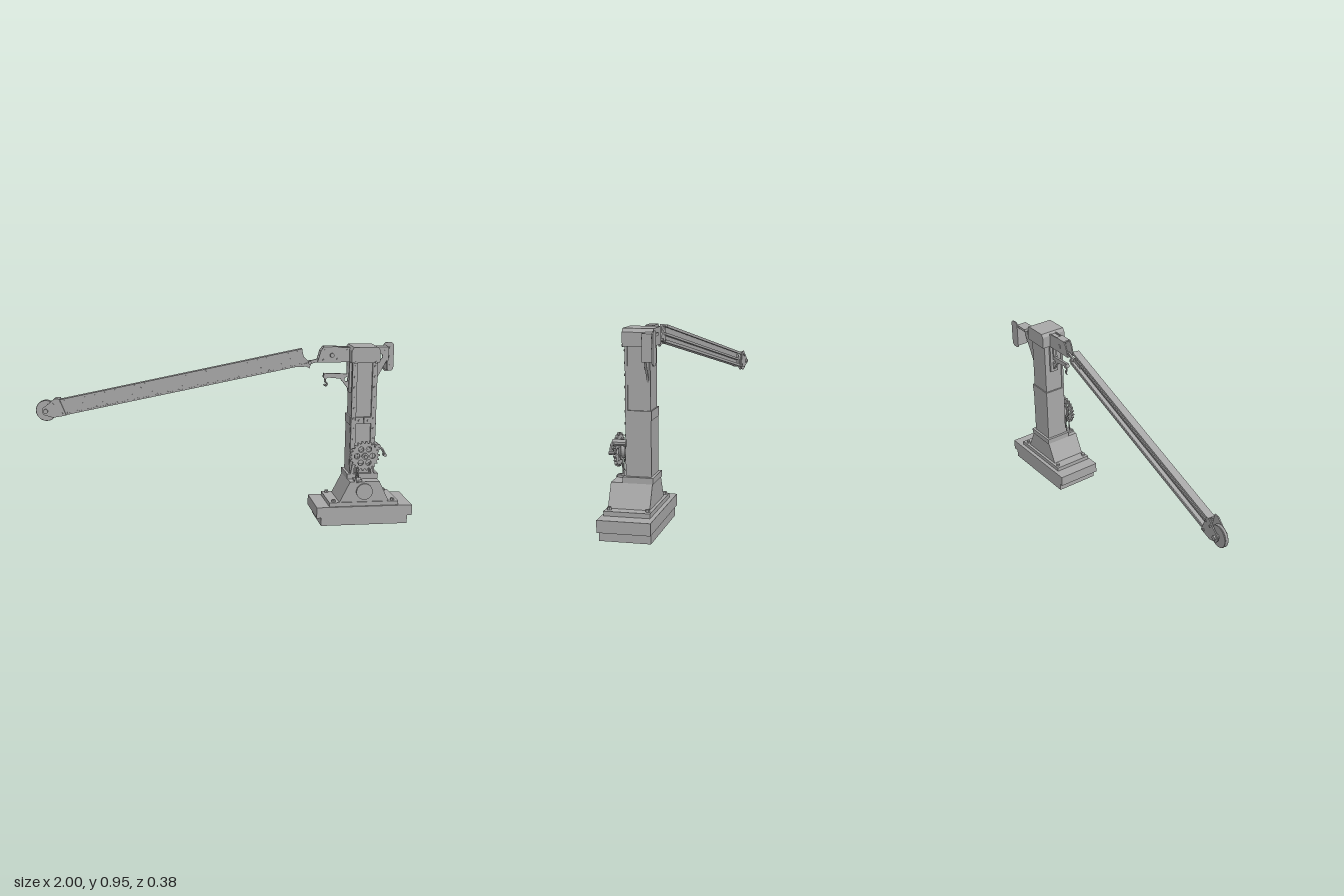
import * as THREE from 'three';

const steel = new THREE.MeshStandardMaterial({ color: 0xa8a8a8 });
steel.name = 'grey steel';
steel.flatShading = true;

function add(parent, name, geo, x = 0, y = 0, z = 0) {
  const m = new THREE.Mesh(geo, steel);
  m.name = name;
  m.position.set(x, y, z);
  parent.add(m);
  return m;
}
// Box given by its limits on each axis
const box = (p, name, x0, x1, y0, y1, z0, z1) =>
  add(p, name, new THREE.BoxGeometry(x1 - x0, y1 - y0, z1 - z0), (x0 + x1) / 2, (y0 + y1) / 2, (z0 + z1) / 2);
// Polygon in xy pulled from z0 to z1, with optional round holes [x, y, r]
function plate(p, name, pts, z0, z1, holes = []) {
  const s = new THREE.Shape(pts.map(a => new THREE.Vector2(...a)));
  for (const [x, y, r] of holes) s.holes.push(new THREE.Path().absarc(x, y, r, 0, Math.PI * 2, true));
  return add(p, name, new THREE.ExtrudeGeometry(s, { depth: z1 - z0, bevelEnabled: false, curveSegments: 10 }), 0, 0, z0);
}
// Cylinder along z
function disc(p, name, x, y, z0, z1, r, n = 24) {
  const g = new THREE.CylinderGeometry(r, r, z1 - z0, n).rotateX(Math.PI / 2);
  return add(p, name, g, x, y, (z0 + z1) / 2);
}
const rivet = (p, x, y, z, r = 0.006, h = 0.006) => disc(p, 'rivet', x, y, z, z + h, r, 6);
// Round bar through points
const rod = (p, name, pts, r) => add(p, name, new THREE.TubeGeometry(
  new THREE.CatmullRomCurve3(pts.map(a => new THREE.Vector3(...a)), false, 'catmullrom', 0.2), pts.length * 4, r, 6));

function group(parent, name) {
  const g = new THREE.Group();
  g.name = name;
  parent.add(g);
  return g;
}

function buildBase(root) {
  const g = group(root, 'base');
  box(g, 'footing', 0.505, 0.975, 0, 0.045, -0.062, 0.18);
  box(g, 'slab', 0.48, 1, 0.045, 0.103, -0.066, 0.184);
  box(g, 'basePlate', 0.55, 0.925, 0.103, 0.125, -0.045, 0.174);
  plate(g, 'pedestal', [[0.605, 0.125], [0.873, 0.125], [0.82, 0.235], [0.66, 0.235]], -0.03, 0.168);
  disc(g, 'pedestalCover', 0.738, 0.182, 0.168, 0.178, 0.044);
  for (const x of [0.575, 0.895]) for (const z of [-0.027, 0.155]) {
    add(g, 'anchorBolt', new THREE.CylinderGeometry(0.011, 0.011, 0.012, 6), x, 0.131, z);
  }
  box(g, 'collar', 0.657, 0.825, 0.235, 0.264, -0.035, 0.11);
}

function buildColumn(root) {
  const g = group(root, 'column');
  box(g, 'lowerColumn', 0.671, 0.807, 0.264, 0.572, -0.022, 0.088);
  box(g, 'upperColumn', 0.677, 0.801, 0.572, 0.87, -0.018, 0.088);
  // Riveted edge strips on either side of the recessed front
  for (const s of [-1, 1]) {
    const x = 0.739 + s * 0.054;
    box(g, 'edgeStrip', x - 0.013, x + 0.013, 0.264, 0.87, 0.088, 0.1);
    for (let i = 0; i < 11; i++) rivet(g, x, 0.285 + i * 0.056, 0.1);
    box(g, 'jointPlate', 0.739 + s * 0.024 - 0.022, 0.739 + s * 0.024 + 0.022, 0.537, 0.572, 0.086, 0.104);
    rivet(g, 0.739 + s * 0.024, 0.554, 0.104, 0.007);
  }
  box(g, 'columnBand', 0.668, 0.81, 0.528, 0.572, -0.024, 0.087);
  // Head block with bevelled top
  plate(g, 'head', [[0.663, 0.865], [0.815, 0.865], [0.815, 0.93], [0.803, 0.947], [0.675, 0.947], [0.663, 0.93]], -0.035, 0.11);
  for (const x of [0.685, 0.793]) rivet(g, x, 0.867, 0.108, 0.007, 0.008);
}

function buildRightArm(root) {
  const g = group(root, 'rightArm');
  plate(g, 'gusset', [[0.8, 0.7], [0.816, 0.735], [0.888, 0.87], [0.888, 0.93], [0.8, 0.93]], -0.012, -0.002, [[0.842, 0.88, 0.017]]);
  box(g, 'topRail', 0.81, 0.89, 0.918, 0.932, -0.06, -0.001);
  box(g, 'endWeb', 0.882, 0.89, 0.805, 0.93, -0.06, -0.002);
  const c = 0.012, x0 = 0.878, x1 = 0.936, y0 = 0.792, y1 = 0.948;
  plate(g, 'endPlate', [[x0 + c, y0], [x1 - c, y0], [x1, y0 + c], [x1, y1 - c], [x1 - c, y1], [x0 + c, y1], [x0, y1 - c], [x0, y0 + c]], -0.066, -0.06);
  for (const y of [0.82, 0.87, 0.918]) rivet(g, 0.914, y, -0.06, 0.007);
  for (const [x, y] of [[0.825, 0.77], [0.83, 0.91], [0.872, 0.91]]) rivet(g, x, y, -0.002);
}

function buildLeftArm(root) {
  const g = group(root, 'leftArm');
  const side = [[0.492, 0.862], [0.665, 0.862], [0.665, 0.94], [0.525, 0.945], [0.51, 0.925]];
  for (const z of [0.012, 0.048]) plate(g, 'armCheek', side, z, z + 0.007, [[0.57, 0.9, 0.012]]);
  box(g, 'armCore', 0.56, 0.665, 0.87, 0.935, 0.019, 0.048);
  box(g, 'armFloor', 0.495, 0.665, 0.862, 0.868, 0.014, 0.054);
  box(g, 'armCap', 0.53, 0.6, 0.937, 0.945, 0.012, 0.055);
  for (const [x, y] of [[0.53, 0.925], [0.6, 0.88], [0.65, 0.925], [0.525, 0.875]]) rivet(g, x, y, 0.055);
  disc(g, 'hingePin', 0.57, 0.9, 0.008, 0.064, 0.011, 12);
  // Hook bracket under the arm
  plate(g, 'hookBracket', [[0.53, 0.782], [0.62, 0.772], [0.68, 0.695], [0.68, 0.862], [0.655, 0.862], [0.655, 0.797], [0.53, 0.803]], 0.028, 0.042, [[0.655, 0.768, 0.012]]);
  box(g, 'bracketFoot', 0.665, 0.679, 0.7, 0.86, 0.012, 0.058);
  rod(g, 'hook', [[0.54, 0.79, 0.035], [0.54, 0.757, 0.035], [0.551, 0.745, 0.035], [0.543, 0.735, 0.035], [0.531, 0.743, 0.035]], 0.006);
  disc(g, 'hookCollar', 0.54, 0.785, 0.024, 0.046, 0.012, 10);
}

function buildBoom(root) {
  const g = group(root, 'boom');
  // Local x runs from the pulley end up to the hinge, z towards the front
  const start = new THREE.Vector3(-0.86, 0.612, -0.145), end = new THREE.Vector3(0.425, 0.89, 0.015);
  const L = start.distanceTo(end);
  const X = end.clone().sub(start).normalize();
  const Z = X.clone().cross(new THREE.Vector3(0, 1, 0)).normalize();
  const Y = Z.clone().cross(X);
  g.quaternion.setFromRotationMatrix(new THREE.Matrix4().makeBasis(X, Y, Z));
  g.position.copy(start);
  const h = 0.043;
  // Channel open to the back, with lips and a centre rib
  box(g, 'web', 0, L, -h, h, 0.009, 0.017);
  for (const s of [-1, 1]) {
    const y = s * (h - 0.003);
    box(g, 'flange', 0, L + (s < 0 ? 0.012 : 0), y - 0.004, y + 0.004, -0.02, 0.019);
    box(g, 'lip', 0, L, s * 0.036 - 0.006, s * 0.036 + 0.006, -0.02, -0.014);
    for (let i = 0; i < 24; i++) rivet(g, 0.025 + i * (L - 0.05) / 23, s * 0.034, 0.017, 0.005, 0.004);
  }
  box(g, 'rib', 0.02, L - 0.02, -0.006, 0.006, -0.008, 0.01);
  for (let i = 0; i < 22; i++) rivet(g, 0.12 + i * 0.054, 0.018 * Math.sin(i * 2.4), 0.017, 0.004, 0.003);
  // Pointed hinge tongue
  plate(g, 'hingeTongue', [[L - 0.03, h], [L - 0.06, -h], [L + 0.005, -h - 0.012], [L + 0.018, -0.068], [L + 0.03, -0.045], [L + 0.08, -0.042], [L + 0.085, -0.025], [L + 0.02, -0.028]], 0.002, 0.012);
  disc(g, 'hingeBolt', L + 0.025, -0.036, -0.015, 0.028, 0.009, 8);
  // Pulley between two cheeks
  const px = -0.082, py = 0.0;
  const profile = [[0.012, -0.01], [0.055, -0.01], [0.057, -0.008], [0.048, 0], [0.057, 0.008], [0.055, 0.01], [0.012, 0.01]];
  const wheel = new THREE.LatheGeometry(profile.map(a => new THREE.Vector2(...a)), 28).rotateX(Math.PI / 2);
  add(g, 'pulley', wheel, px, py, 0);
  disc(g, 'axle', px, py, -0.036, 0.036, 0.012, 10);
  const cheek = [[0.02, -0.045], [0.005, 0.05], [-0.02, 0.056], [-0.05, 0.04], [-0.098, 0.018], [-0.104, 0], [-0.098, -0.018], [-0.05, -0.043]];
  for (const s of [-1, 1]) {
    plate(g, 'pulleyCheek', cheek, s * 0.024 - 0.003, s * 0.024 + 0.003);
    for (const [x, y] of [[0, -0.03], [0, 0.032], [-0.035, 0.03]]) disc(g, 'cheekBolt', x, y, s * 0.028 - 0.004, s * 0.028 + 0.004, 0.006, 6);
  }
}

function buildWinch(root) {
  const g = group(root, 'winch');
  const cx = 0.738, cy = 0.373, n = 22;
  disc(g, 'drum', cx, cy, 0.088, 0.142, 0.038);
  for (const z of [0.104, 0.132]) disc(g, 'drumFlange', cx, cy, z, z + 0.007, 0.05);
  // Toothed wheel with round openings
  const teeth = [];
  for (let i = 0; i < n * 4; i++) {
    const a = (i / (n * 4)) * Math.PI * 2, r = i % 4 < 2 ? 0.081 : 0.07;
    teeth.push([cx + r * Math.cos(a), cy + r * Math.sin(a)]);
  }
  const holes = Array.from({ length: 6 }, (_, i) => [cx + 0.042 * Math.cos(i * Math.PI / 3), cy + 0.042 * Math.sin(i * Math.PI / 3), 0.015]);
  plate(g, 'gear', teeth, 0.145, 0.157, holes);
  disc(g, 'gearHub', cx, cy, 0.14, 0.166, 0.018, 12);
  disc(g, 'shaftEnd', cx, cy, 0.16, 0.18, 0.009, 8);
  // Pinion and crank
  disc(g, 'pinion', 0.808, 0.42, 0.095, 0.16, 0.016, 10);
  rod(g, 'crank', [[0.808, 0.425, 0.158], [0.83, 0.41, 0.16], [0.845, 0.38, 0.16]], 0.007);
  disc(g, 'crankHandle', 0.845, 0.378, 0.14, 0.168, 0.009, 8);
  // Support legs
  for (const s of [-1, 1]) {
    const x = cx + s * 0.052;
    plate(g, 'leg', [[x - 0.007 + s * 0.008, 0.24], [x + 0.007 + s * 0.008, 0.24], [x + 0.007 - s * 0.012, 0.36], [x - 0.007 - s * 0.012, 0.36]], 0.1, 0.11);
  }
  // Brake rod, foot lever and chain
  rod(g, 'brakeRod', [[0.7, 0.33, 0.145], [0.695, 0.24, 0.145]], 0.004);
  rod(g, 'lever', [[0.7, 0.24, 0.112], [0.7, 0.242, 0.165], [0.7, 0.23, 0.174]], 0.006);
  box(g, 'leverFoot', 0.685, 0.725, 0.235, 0.246, 0.12, 0.165);
  for (let i = 0; i < 5; i++) {
    const link = add(g, 'chainLink', new THREE.TorusGeometry(0.009, 0.0028, 6, 12), 0.708, 0.25 + i * 0.021, 0.125);
    link.scale.y = 1.5;
    link.rotation.y = (i % 2) * Math.PI / 2;
  }
}

export function createModel() {
  const root = new THREE.Group();
  root.name = 'waterCrane';
  for (const build of [buildBase, buildColumn, buildRightArm, buildLeftArm, buildBoom, buildWinch]) build(root);
  return root;
}
